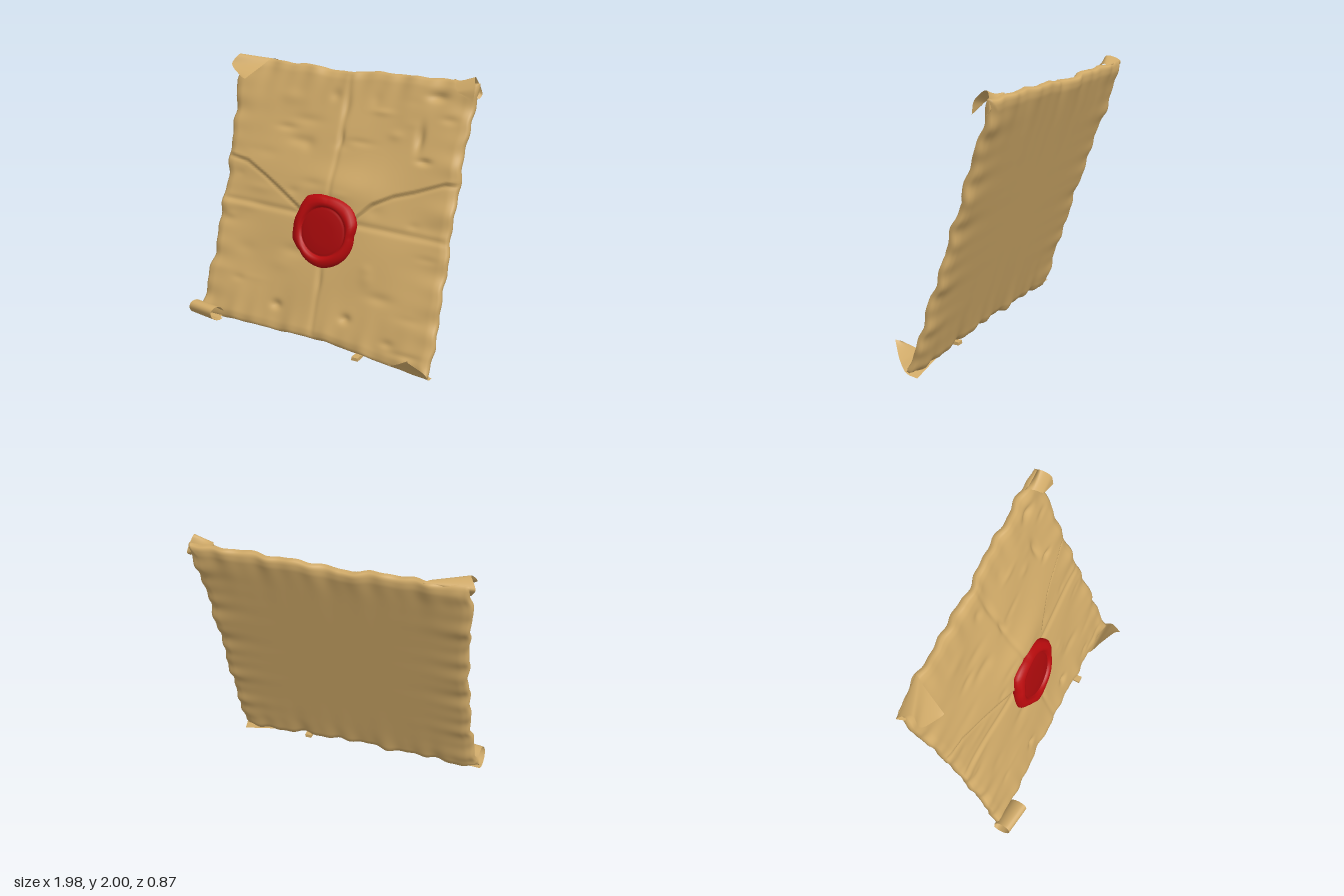
import * as THREE from 'three';
import { mergeVertices } from 'three/addons/utils/BufferGeometryUtils.js';

const paper = new THREE.MeshStandardMaterial({ color: 0xd0aa68, side: THREE.DoubleSide });
paper.name = 'parchment';
const wax = new THREE.MeshStandardMaterial({ color: 0xb60a0c });
wax.name = 'sealing wax';
const darkWax = new THREE.MeshStandardMaterial({ color: 0xa6090b });
darkWax.name = 'pressed wax';

const { lerp, smoothstep, clamp } = THREE.MathUtils;
const bell = (d, w) => Math.exp(-(d * d) / (w * w));

// Piecewise linear lookup in a list of [x, value] pairs
function lookup(pts, x) {
  let i = 1;
  while (i < pts.length - 1 && pts[i][0] < x) i++;
  const [a, va] = pts[i - 1], [b, vb] = pts[i];
  return lerp(va, vb, clamp((x - a) / (b - a), 0, 1));
}

function seeded(seed) {
  return () => (seed = (seed * 16807) % 2147483647) / 2147483647;
}

// Outline of the sheet and the lower edge of the folded flap
const LEFT = [[0.08, -0.945], [0.5, -0.912], [1, -0.9], [1.3, -0.902], [1.7, -0.93], [1.95, -0.915]];
const RIGHT = [[0.05, 0.95], [0.5, 0.955], [1, 0.942], [1.4, 0.94], [1.7, 0.95], [1.95, 0.97]];
const BOTTOM = [[-0.95, 0.09], [0.15, 0.095], [0.5, 0.06], [0.95, 0.02]];
const TOP = [[-0.95, 1.96], [-0.6, 1.958], [-0.3, 1.95], [-0.1, 1.93], [0.1, 1.945], [0.3, 1.955], [0.95, 1.95]];
const FLAP = [[-0.92, 1.26], [-0.72, 1.23], [-0.55, 1.15], [-0.4, 1.07], [-0.2, 0.96], [0.03, 0.8],
  [0.25, 0.97], [0.35, 1.07], [0.5, 1.15], [0.65, 1.2], [0.85, 1.28], [0.95, 1.29]];

// Small elongated dents: x, y, width, height, depth
const random = seeded(41);
const dents = [[0.62, 1.55, 0.03, 0.08, 0.025], [0.7, 1.83, 0.07, 0.03, 0.025], [0.03, 1.7, 0.03, 0.09, 0.012],
  [0.68, 1.4, 0.05, 0.02, 0.02], [-0.3, 0.27, 0.04, 0.03, 0.022], [0.27, 0.28, 0.04, 0.03, 0.022],
  [0.03, 1.48, 0.02, 0.05, 0.015], [0.03, 0.5, 0.02, 0.08, 0.01]];
for (let i = 0; i < 44; i++) {
  dents.push([random() * 1.7 - 0.85, random() * 1.75 + 0.12, 0.04 + random() * 0.08,
    0.02 + random() * 0.03, (random() - 0.4) * 0.02]);
}

// Relief of the front face
function frontRelief(x, y) {
  let h = 0.003 * Math.sin(9 * x + 5 * y) + 0.003 * Math.sin(13 * y - 6 * x + 1);
  for (const [dx, dy, w, t, d] of dents) h -= d * bell(x - dx, w) * bell(y - dy, t);
  h -= 0.007 * bell(x - 0.02, 0.02) + 0.012 * bell(y - 0.925 + 0.02 * x, 0.022);
  const above = y - lookup(FLAP, x);
  const flap = 0.016 * Math.exp(-Math.max(above, 0) / 0.25)
    + 0.036 * bell(x - 0.03, 0.3) * bell(y - 1.15, 0.13);
  return h + flap * smoothstep(above, -0.006, 0.012) - 0.007 * bell(above + 0.01, 0.014);
}

// Uneven ripple along an edge
const ripple = (u, p) => 0.007 * Math.sin(13 * u + p) + 0.008 * Math.sin(23 * u + 2 * p) + 0.005 * Math.sin(41 * u + p);

// Leaning sheet: front and back grids joined round the rim
function sheetGeometry() {
  const N = 150, row = N + 1, count = row * row, pos = [], idx = [];
  for (const face of [1, -1]) {
    for (let j = 0; j <= N; j++) for (let i = 0; i <= N; i++) {
      const s = i / N, t = j / N;
      const y0 = lerp(0.06, 1.95, t), x0 = lerp(-0.93, 0.95, s);
      const x = lerp(lookup(LEFT, y0) + 0.5 * ripple(y0, 1), lookup(RIGHT, y0) + 0.5 * ripple(y0, 4), s);
      const y = lerp(lookup(BOTTOM, x0) + 0.4 * ripple(x0, 2), lookup(TOP, x0) + 0.4 * ripple(x0, 5), t);
      const rim = Math.min(s, 1 - s, t, 1 - t);
      const edgeX = Math.exp(-Math.min(s, 1 - s) / 0.06), edgeY = Math.exp(-Math.min(t, 1 - t) / 0.06);
      const wave = edgeX * ripple(y0, s < 0.5 ? 3 : 0.5) + edgeY * ripple(x0, t < 0.5 ? 2 : 1);
      const round = Math.sqrt(Math.min(rim / 0.03, 1));
      const dome = Math.sin(Math.PI * s) * Math.sin(Math.PI * t);
      const w = face > 0
        ? wave + 0.014 + (0.022 + frontRelief(x, y)) * round + 0.03 * dome * dome
        : wave - 0.014 - 0.022 * round;
      pos.push(x, y + 0.32 * w, -0.08 - 0.34 * (y - 1) + 0.947 * w);
    }
  }
  for (let j = 0; j < N; j++) for (let i = 0; i < N; i++) {
    const a = j * row + i, b = a + 1, c = b + row, d = a + row;
    idx.push(a, b, c, a, c, d);
    idx.push(a + count, c + count, b + count, a + count, d + count, c + count);
  }
  const rimLoop = [];
  for (let i = 0; i < N; i++) rimLoop.push(i);
  for (let j = 0; j < N; j++) rimLoop.push(j * row + N);
  for (let i = N; i > 0; i--) rimLoop.push(N * row + i);
  for (let j = N; j > 0; j--) rimLoop.push(j * row);
  rimLoop.forEach((f, k) => {
    const g = rimLoop[(k + 1) % rimLoop.length];
    idx.push(f, f + count, g + count, f, g + count, g);
  });
  return indexed(pos, idx);
}

function indexed(pos, idx) {
  const g = new THREE.BufferGeometry();
  g.setAttribute('position', new THREE.Float32BufferAttribute(pos, 3));
  g.setIndex(idx);
  g.computeVertexNormals();
  return g;
}

// Curled piece of paper stretched between two end curves
function curlGeometry(ptsA, ptsB) {
  const [a, b] = [ptsA, ptsB].map(p => new THREE.CatmullRomCurve3(p.map(q => new THREE.Vector3(...q))));
  const U = 32, V = 12, pos = [], idx = [];
  for (let i = 0; i <= U; i++) {
    const p = a.getPoint(i / U), q = b.getPoint(i / U);
    for (let j = 0; j <= V; j++) pos.push(...p.clone().lerp(q, j / V).toArray());
  }
  for (let i = 0; i < U; i++) for (let j = 0; j < V; j++) {
    const k = i * (V + 1) + j;
    idx.push(k, k + 1, k + V + 1, k + 1, k + V + 2, k + V + 1);
  }
  return indexed(pos, idx);
}

// End curve of a flattened roll that leans forward, wound up from the lower edge
function spiral(x, y, z, long, short) {
  const pts = [];
  for (let k = 0; k <= 15; k++) {
    const a = -2.9 + k * 0.5, q = 1 - k * 0.02;
    const u = long * q * Math.cos(a), v = short * q * Math.sin(a);
    pts.push([x + 0.015 * Math.sin(a), y + 0.6 * u + 0.8 * v, z + 0.8 * u - 0.6 * v]);
  }
  return pts;
}

// Wax blob: turned profile with an uneven outer outline
const BLOB = [[-180, 0.255], [-160, 0.268], [-135, 0.24], [-90, 0.262], [-45, 0.25], [0, 0.235], [20, 0.268],
  [50, 0.275], [90, 0.258], [125, 0.29], [152, 0.25], [180, 0.255]];
function waxGeometry(profile) {
  let g = new THREE.LatheGeometry(profile.map(p => new THREE.Vector2(...p)), 72);
  g.rotateX(Math.PI / 2);
  const p = g.attributes.position;
  for (let i = 0; i < p.count; i++) {
    const x = p.getX(i), y = p.getY(i), a = Math.atan2(y, x);
    const outer = smoothstep(Math.hypot(x, y), 0.16, 0.25);
    const k = lerp(1, lookup(BLOB, a * 180 / Math.PI) / 0.26, outer);
    p.setXYZ(i, x * k, y * k, p.getZ(i) + outer * (0.008 * Math.sin(3 * a + 1) + 0.005 * Math.sin(5 * a)));
  }
  g.deleteAttribute('uv');
  g.deleteAttribute('normal');
  g = mergeVertices(g, 1e-5);
  g.computeVertexNormals();
  return g;
}

export function createModel() {
  const model = new THREE.Group();
  model.name = 'sealedLetter';
  const add = (name, geometry, material, parent = model) => {
    const mesh = new THREE.Mesh(geometry, material);
    mesh.name = name;
    parent.add(mesh);
    return mesh;
  };

  add('foldedSheet', sheetGeometry(), paper);

  // Curled corners
  add('topRightCurl', curlGeometry(
    [[-0.92, 1.88, -0.36], [-0.95, 1.95, -0.4], [-0.9, 1.995, -0.31], [-0.93, 1.93, -0.25], [-0.81, 1.85, -0.19]],
    [[-0.64, 1.93, -0.38], [-0.63, 1.955, -0.43], [-0.67, 1.965, -0.39], [-0.71, 1.92, -0.31], [-0.77, 1.845, -0.175]]), paper);
  add('topLeftCurl', curlGeometry(
    [[0.78, 1.94, -0.37], [0.79, 1.965, -0.39], [0.82, 1.955, -0.34], [0.85, 1.91, -0.29], [0.88, 1.89, -0.28]],
    [[0.98, 1.85, -0.37], [0.99, 1.88, -0.4], [0.95, 2.0, -0.36], [0.975, 1.94, -0.29], [0.975, 1.85, -0.27]]), paper);
  add('bottomRightRoll', curlGeometry(
    spiral(-0.975, 0.15, 0.275, 0.09, 0.055), spiral(-0.755, 0.145, 0.305, 0.1, 0.056)), paper);
  add('bottomLeftCurl', curlGeometry(
    [[0.62, 0.06, 0.22], [0.66, 0.062, 0.27], [0.74, 0.11, 0.315], [0.85, 0.2, 0.39]],
    [[0.95, 0.005, 0.2], [0.96, 0.03, 0.28], [0.95, 0.1, 0.335], [0.87, 0.21, 0.43]]), paper);

  // Torn scrap on the lower edge
  const scrap = add('tornScrap', new THREE.BoxGeometry(0.05, 0.025, 0.1), paper);
  scrap.position.set(0.405, 0.055, 0.25);

  // Wax seal: raised rim and pressed middle
  const seal = new THREE.Group();
  seal.name = 'waxSeal';
  add('sealRim', waxGeometry([[0.215, -0.07], [0.24, -0.02], [0.255, 0.005], [0.26, 0.022], [0.255, 0.045],
    [0.238, 0.064], [0.212, 0.074], [0.193, 0.07], [0.183, 0.06], [0.176, 0.05]]), wax, seal);
  add('sealCentre', waxGeometry([[0.176, 0.05], [0.167, 0.049], [0.155, 0.057], [0.08, 0.06], [0, 0.06]]), darkWax, seal);
  seal.position.set(0.025, 0.855, 0.026);
  seal.rotation.x = -0.27;
  model.add(seal);

  return model;
}
